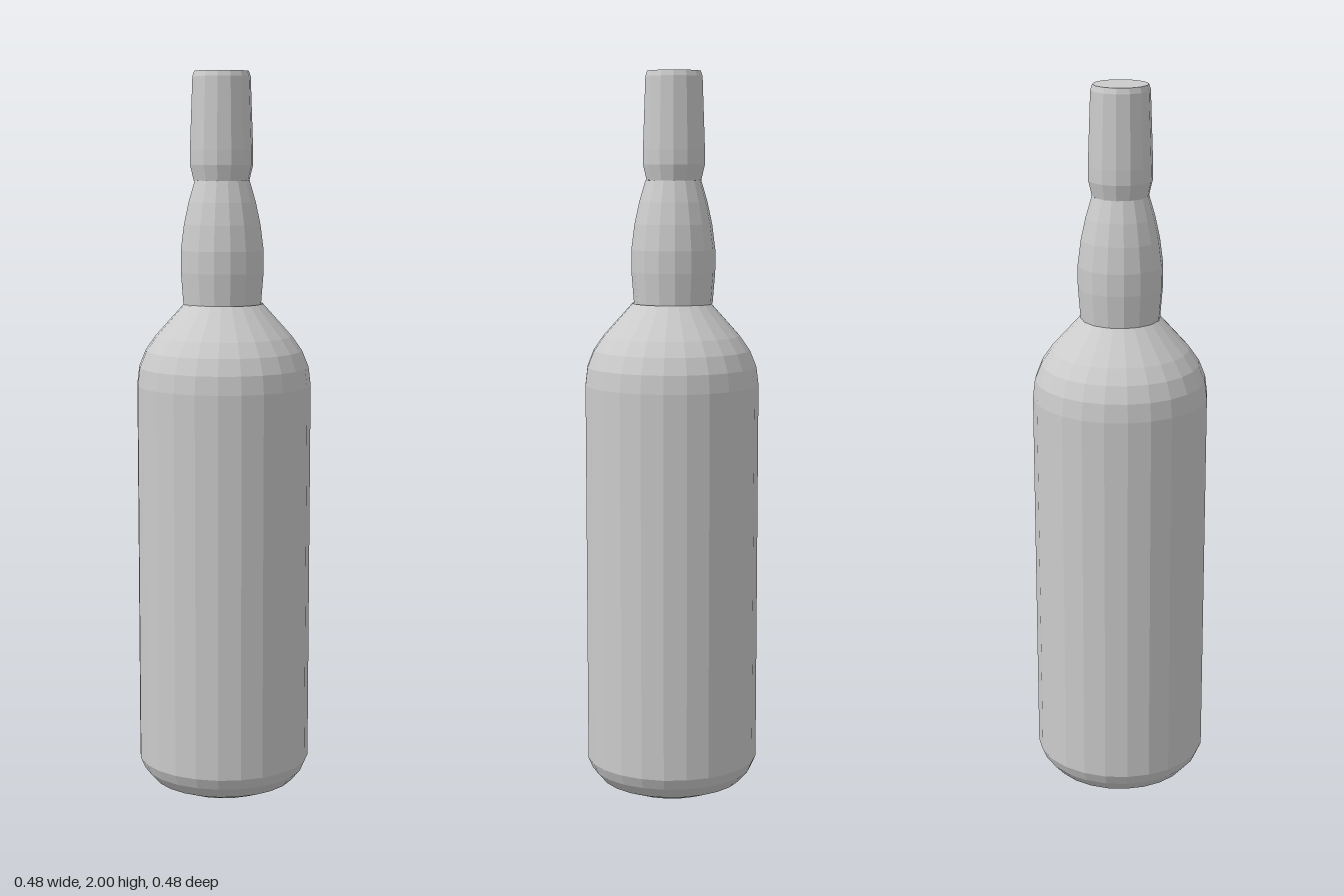
import * as THREE from 'three';

const material = new THREE.MeshStandardMaterial({ color: 0xcccccc, flatShading: true, side: THREE.DoubleSide });

// Revolves [radius, height] pairs, listed bottom to top, into a faceted part
function turned(name, sides, x, profile) {
  const points = profile.map(([r, y]) => new THREE.Vector2(r, y));
  const mesh = new THREE.Mesh(new THREE.LatheGeometry(points, sides), material);
  mesh.name = name;
  mesh.position.x = x;
  return mesh;
}

export function createModel() {
  const bottle = new THREE.Group();
  bottle.name = 'bottle';

  // Body with a bevelled base and rounded shoulder
  bottle.add(turned('body', 24, 0, [
    [0, 0], [0.14, 0.004], [0.198, 0.028], [0.226, 0.06], [0.239, 0.09],
    [0.24, 1.15], [0.234, 1.2], [0.216, 1.245], [0.188, 1.285], [0.108, 1.374],
  ]));

  // Bulging neck
  bottle.add(turned('neck', 16, -0.005, [
    [0.108, 1.372], [0.115, 1.46], [0.115, 1.52], [0.106, 1.59], [0.093, 1.65], [0.076, 1.708],
  ]));

  // Tapered cap with a closed top
  bottle.add(turned('cap', 14, -0.007, [
    [0.076, 1.708], [0.086, 1.75], [0.086, 1.79], [0.079, 1.985], [0.074, 2], [0, 2],
  ]));

  return bottle;
}
